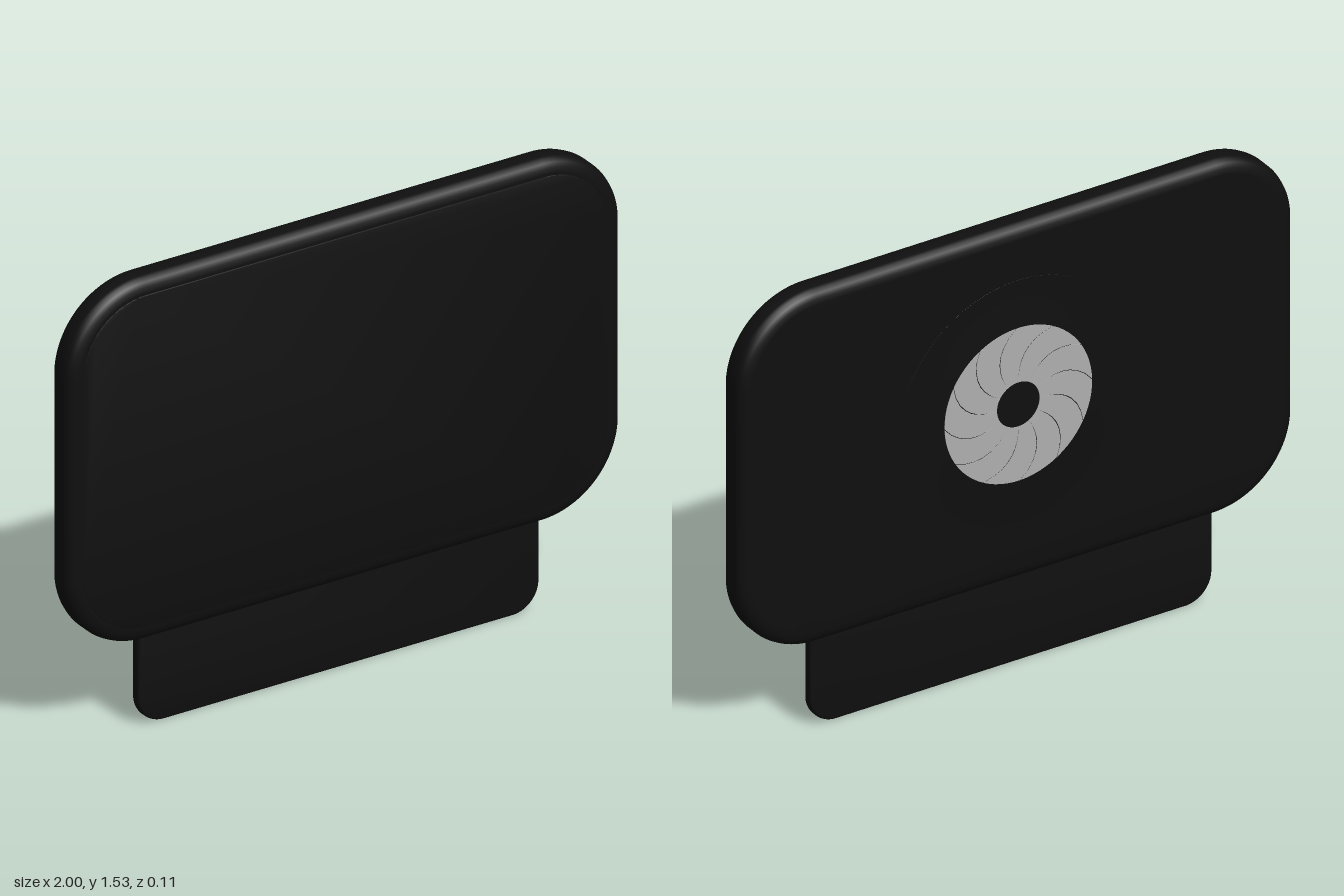
import * as THREE from 'three';
import { toCreasedNormals } from 'three/addons/utils/BufferGeometryUtils.js';

const black = new THREE.MeshStandardMaterial({ color: 0x0f0f0f, name: 'black' });
const silver = new THREE.MeshStandardMaterial({ color: 0xb0b0b0, name: 'silver' });

// Rounded rectangle with separate radii for the top and bottom corners
function roundedRect(x, y0, y1, rTop, rBottom) {
  const s = new THREE.Shape();
  s.moveTo(-x + rBottom, y0);
  s.lineTo(x - rBottom, y0);
  s.absarc(x - rBottom, y0 + rBottom, rBottom, -Math.PI / 2, 0);
  s.lineTo(x, y1 - rTop);
  s.absarc(x - rTop, y1 - rTop, rTop, 0, Math.PI / 2);
  s.lineTo(-x + rTop, y1);
  s.absarc(-x + rTop, y1 - rTop, rTop, Math.PI / 2, Math.PI);
  s.lineTo(-x, y0 + rBottom);
  s.absarc(-x + rBottom, y0 + rBottom, rBottom, Math.PI, Math.PI * 1.5);
  return s;
}

// Slab between two z planes with softened edges; the shape is its flat face
function slab(shape, z0, z1, bevelSize, bevelThickness, segments) {
  const g = new THREE.ExtrudeGeometry(shape, {
    depth: z1 - z0 - 2 * bevelThickness, curveSegments: 16,
    bevelEnabled: true, bevelSize, bevelThickness, bevelSegments: segments,
  });
  g.translate(0, 0, z0 + bevelThickness);
  return toCreasedNormals(g, 0.5);
}

// One curved shutter blade between swirling edges
function bladeShape(start, step, rIn, rOut) {
  const swirl = 0.5, gap = 0.0015, n = 8;
  const edge = (base, side) => Array.from({ length: n + 1 }, (_, i) => {
    const t = i / n, r = rIn + (rOut - rIn) * t;
    const a = base + swirl * t * t + side * gap * Math.min(1, t * 2) / r;
    return new THREE.Vector2(r * Math.cos(a), r * Math.sin(a));
  });
  const arc = (r, a0, a1) => Array.from({ length: 5 }, (_, i) => {
    const a = a0 + (a1 - a0) * (i + 1) / 6;
    return new THREE.Vector2(r * Math.cos(a), r * Math.sin(a));
  });
  return new THREE.Shape([
    ...edge(start, 1),
    ...arc(rOut, start + swirl, start + swirl + step),
    ...edge(start + step, -1).reverse(),
    ...arc(rIn, start + step, start),
  ]);
}

export function createModel() {
  const model = new THREE.Group();
  const add = (geometry, material, name, parent = model) => {
    const mesh = new THREE.Mesh(geometry, material);
    mesh.name = name;
    parent.add(mesh);
    return mesh;
  };

  // Main panel, with a thin face plate inside the rim
  add(slab(roundedRect(0.955, 0.35, 1.49, 0.235, 0.235), -0.051, 0.054, 0.045, 0.032, 4), black, 'panel');
  add(slab(roundedRect(0.945, 0.36, 1.48, 0.225, 0.225), 0.05, 0.0555, 0.002, 0.001, 1), black, 'facePlate');

  // Thin stand below the panel
  add(slab(roundedRect(0.715, 0.01, 0.4, 0.02, 0.085), -0.018, 0.018, 0.01, 0.01, 3), black, 'stand');

  // Shallow raised housing on the back
  const iris = new THREE.Group();
  iris.name = 'backIris';
  iris.position.set(0, 0.92, 0);
  model.add(iris);
  const profile = [[0.44, 0.045], [0.43, 0.0512], [0.31, 0.0535], [0.295, 0.055], [0, 0.055]]
    .map(([r, h]) => new THREE.Vector2(r, h));
  const housing = toCreasedNormals(new THREE.LatheGeometry(profile, 64), 0.5);
  housing.rotateX(-Math.PI / 2);
  add(housing, black, 'irisHousing', iris);

  // Overlapping-looking ring of blades around a dark centre
  const count = 12, step = Math.PI * 2 / count;
  for (let i = 0; i < count; i++) {
    const g = new THREE.ExtrudeGeometry(bladeShape(i * step, step, 0.077, 0.266), {
      depth: 0.002, bevelEnabled: false,
    });
    g.translate(0, 0, -0.0565);
    add(g, silver, 'irisBlade', iris);
  }
  return model;
}
